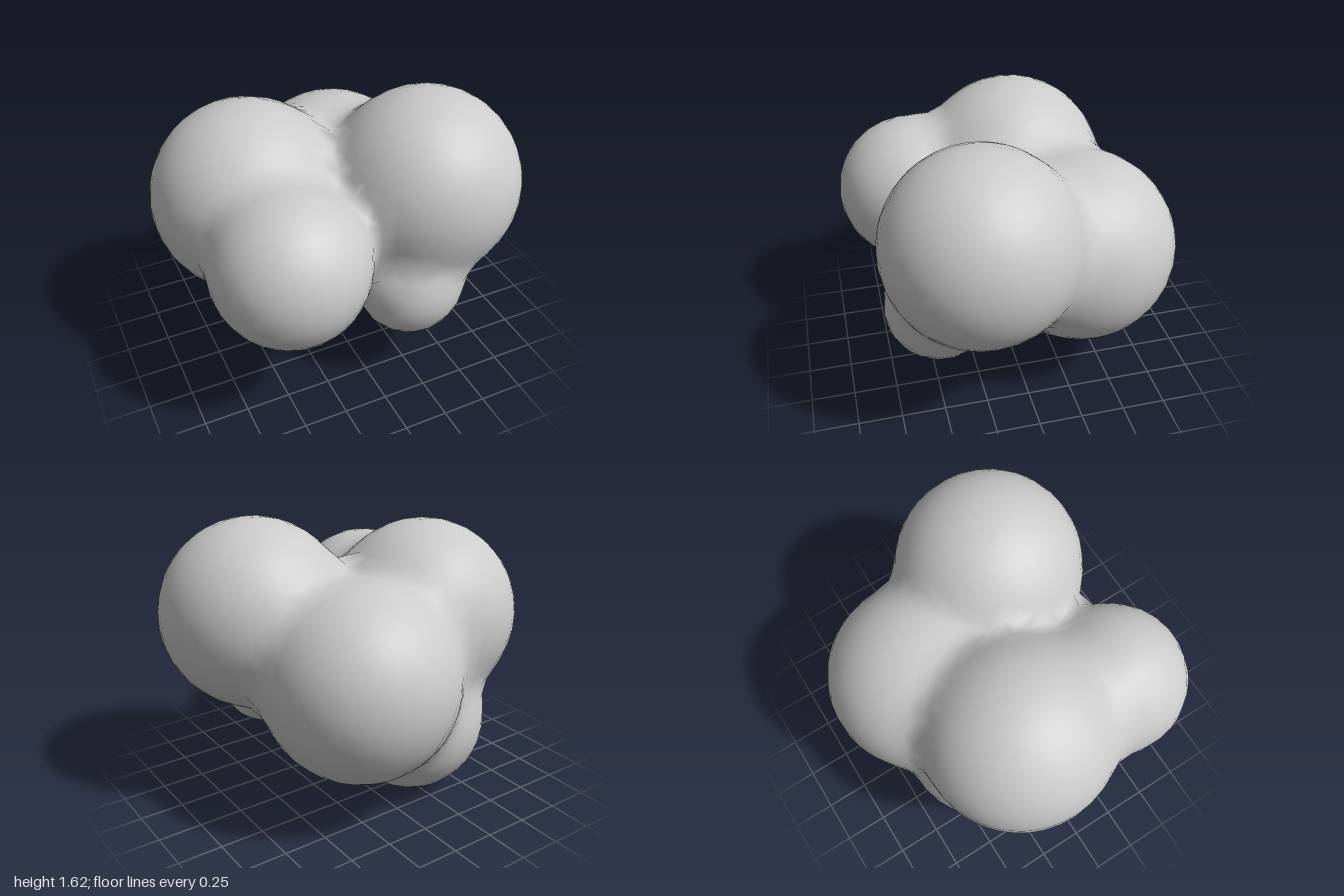
import * as THREE from 'three';

// Lobes of the cluster: centre x, y, z and radius
const LOBES = [
  [0.46, 1.08, 0.26, 0.54], // upper left
  [-0.455, 1.015, -0.12, 0.545], // upper right
  [-0.46, 0.94, 0.495, 0.43], // front right
  [0.18, 0.8, -0.375, 0.55], // back
  [-0.27, 0.43, -0.26, 0.43], // bottom
  [0.27, 0.59, 0.47, 0.31], // small front
].map(([x, y, z, radius]) => ({ centre: new THREE.Vector3(x, y, z), radius }));

const BLEND = 0.055; // softness of the creases between lobes
const CELL = 0.09; // size of the facets
const MIN = [-1.2, -0.18, -1.14];
const COUNT = [28, 23, 27];

// Smooth union of all lobes: negative inside, zero on the skin
function field(p) {
  let sum = 0;
  for (const l of LOBES) sum += Math.exp((l.radius - p.distanceTo(l.centre)) / BLEND);
  return -BLEND * Math.log(sum);
}

// Outward direction of the skin
function skinNormal(p) {
  const n = new THREE.Vector3();
  for (const l of LOBES) {
    const d = p.clone().sub(l.centre);
    const dist = d.length();
    n.addScaledVector(d, Math.exp((l.radius - dist) / BLEND) / dist);
  }
  return n.normalize();
}

// One continuous skin over the lobes: a point in each grid cell the surface
// passes through, and a quad around each grid edge that it crosses
function skinGeometry() {
  const key = ([i, j, k]) => (k * COUNT[1] + j) * COUNT[0] + i;
  const at = (g) => new THREE.Vector3(...g.map((v, a) => MIN[a] + v * CELL));
  const step = (g, axis, by) => g.map((v, a) => (a === axis ? v + by : v));

  const values = [];
  const cells = [];
  for (let k = 0; k < COUNT[2]; k++)
    for (let j = 0; j < COUNT[1]; j++)
      for (let i = 0; i < COUNT[0]; i++) {
        cells.push([i, j, k]);
        values.push(field(at([i, j, k])));
      }

  const points = new Map(); // cell -> { sum of crossings, how many }
  const quads = [];
  for (const g of cells) {
    for (let a = 0; a < 3; a++) {
      const b = (a + 1) % 3;
      const c = (a + 2) % 3;
      if (g[a] + 1 >= COUNT[a]) continue;
      const end = step(g, a, 1);
      const v0 = values[key(g)];
      const v1 = values[key(end)];
      if (v0 < 0 === v1 < 0) continue;
      const crossing = at(g).lerp(at(end), v0 / (v0 - v1));
      const right = step(g, b, -1);
      const quad = [step(right, c, -1), step(g, c, -1), g, right].map(key);
      for (const cell of quad) {
        if (!points.has(cell)) points.set(cell, { sum: new THREE.Vector3(), n: 0 });
        const point = points.get(cell);
        point.sum.add(crossing);
        point.n++;
      }
      quads.push(v0 < 0 ? quad : quad.reverse());
    }
  }

  // Settle every point on the skin
  const positions = [];
  const normals = [];
  const order = new Map();
  for (const [cell, { sum, n }] of points) {
    const p = sum.divideScalar(n);
    for (let s = 0; s < 5; s++) p.addScaledVector(skinNormal(p), -field(p));
    order.set(cell, order.size);
    positions.push(...p.toArray());
    normals.push(...skinNormal(p).toArray());
  }

  const index = [];
  for (const quad of quads) {
    const [q0, q1, q2, q3] = quad.map((cell) => order.get(cell));
    index.push(q0, q1, q2, q0, q2, q3);
  }

  const geo = new THREE.BufferGeometry();
  geo.setAttribute('position', new THREE.Float32BufferAttribute(positions, 3));
  geo.setAttribute('normal', new THREE.Float32BufferAttribute(normals, 3));
  geo.setIndex(index);
  return geo;
}

export function createModel() {
  const model = new THREE.Group();
  model.name = 'lobedCluster';
  const skin = new THREE.Mesh(skinGeometry(), new THREE.MeshStandardMaterial({ color: 0xcccccc }));
  skin.name = 'lobedSkin';
  model.add(skin);
  return model;
}
